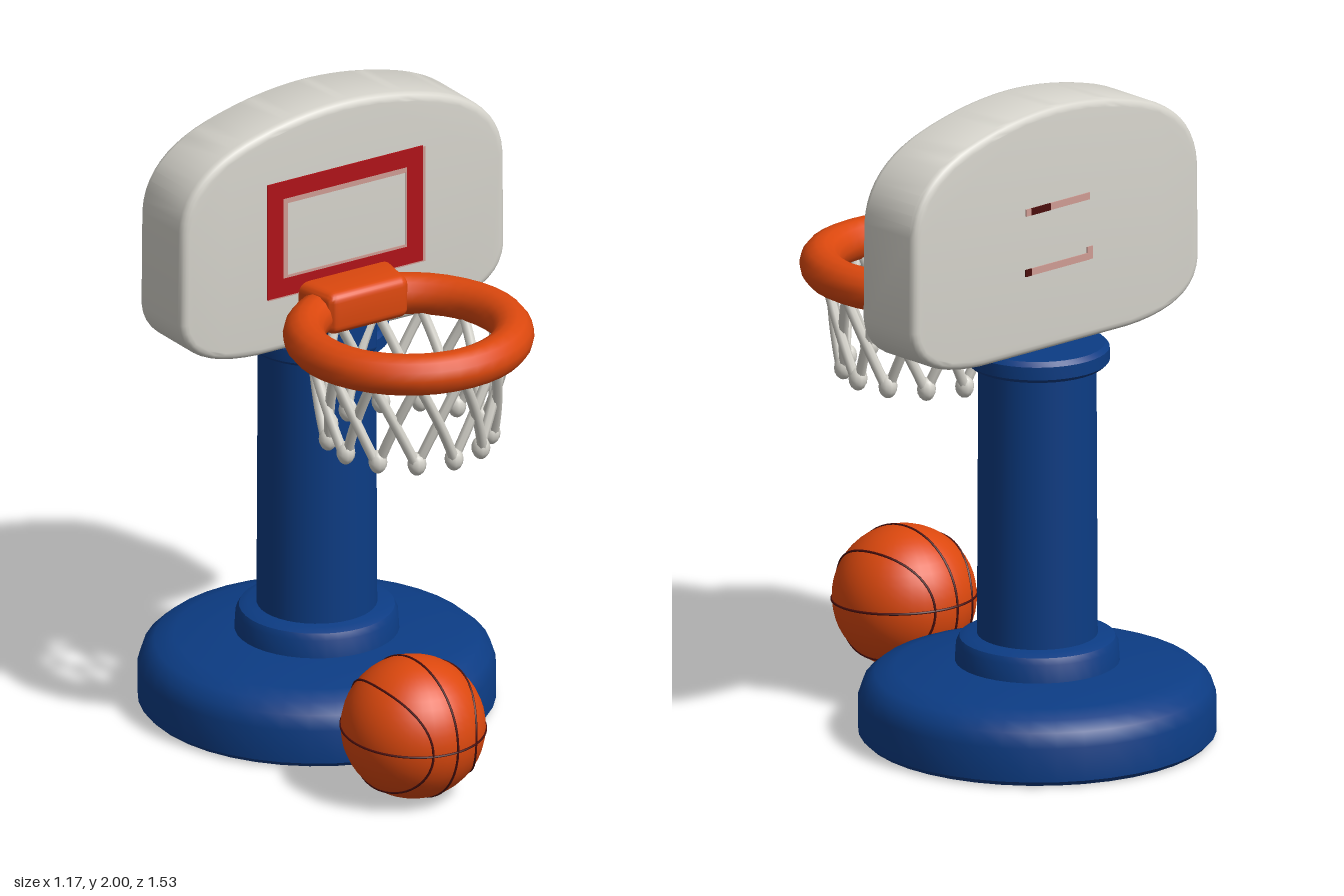
import * as THREE from 'three';
import { toCreasedNormals } from 'three/addons/utils/BufferGeometryUtils.js';
import { RoundedBoxGeometry } from 'three/addons/geometries/RoundedBoxGeometry.js';

const paint = (name, color) => {
  const m = new THREE.MeshStandardMaterial({ color });
  m.name = name;
  return m;
};

export function createModel() {
  const model = new THREE.Group();
  model.name = 'toyBasketballHoop';

  const blue = paint('blue', 0x0c3c84);
  const orange = paint('orange', 0xdc480e);
  const white = paint('offWhite', 0xd6d4cc);
  const red = paint('red', 0xb01218);
  const pink = paint('fadedRed', 0xcf9c94);
  const dark = paint('darkSeam', 0x4a0e0c);

  const add = (name, geometry, material, x = 0, y = 0, z = 0, parent = model) => {
    const mesh = new THREE.Mesh(geometry, material);
    mesh.name = name;
    mesh.position.set(x, y, z);
    parent.add(mesh);
    return mesh;
  };
  const lathe = (points) =>
    toCreasedNormals(new THREE.LatheGeometry(points.map(([r, y]) => new THREE.Vector2(r, y)), 40), 0.7);

  // Stand
  const poleZ = -0.23;
  add('base', lathe([[0, 0], [0.525, 0], [0.54, 0.015], [0.54, 0.12], [0.525, 0.165], [0.49, 0.195],
    [0.43, 0.212], [0.25, 0.235], [0, 0.235]]), blue, 0, 0, poleZ);
  add('baseCollar', lathe([[0.25, 0.21], [0.245, 0.29], [0.235, 0.31], [0.21, 0.32], [0, 0.32]]), blue, 0, 0, poleZ);
  add('pole', new THREE.CylinderGeometry(0.178, 0.182, 0.9, 40), blue, 0, 0.75, poleZ);
  add('poleCap', lathe([[0, 1.17], [0.205, 1.17], [0.218, 1.182], [0.218, 1.222], [0.205, 1.236], [0, 1.24]]),
    blue, 0, 0, poleZ);
  add('rimSupport', new RoundedBoxGeometry(0.16, 0.12, 0.1, 2, 0.02), blue, 0, 1.25, -0.06);

  // Backboard with a domed top and rounded lower corners
  const outline = new THREE.Shape();
  outline.moveTo(-0.3, 1.238);
  outline.lineTo(0.3, 1.238);
  outline.bezierCurveTo(0.47, 1.245, 0.575, 1.29, 0.585, 1.4);
  outline.lineTo(0.582, 1.7);
  outline.bezierCurveTo(0.575, 1.82, 0.49, 1.9, 0.35, 1.945);
  outline.bezierCurveTo(0.22, 1.985, 0.1, 2, 0, 2);
  outline.bezierCurveTo(-0.1, 2, -0.22, 1.985, -0.35, 1.945);
  outline.bezierCurveTo(-0.49, 1.9, -0.575, 1.82, -0.582, 1.7);
  outline.lineTo(-0.585, 1.4);
  outline.bezierCurveTo(-0.575, 1.29, -0.47, 1.245, -0.3, 1.238);
  const board = new THREE.ExtrudeGeometry(outline, {
    depth: 0.19, bevelThickness: 0.025, bevelSize: 0.025, bevelOffset: -0.025, bevelSegments: 4, curveSegments: 10,
  });
  add('backboard', toCreasedNormals(board, 0.6), white, 0, 0, -0.295);

  // Painted target frame
  const frame = (x0, x1, y0, y1, w) => {
    const box = (path, a, b, c, d) =>
      path.moveTo(a, c).lineTo(b, c).lineTo(b, d).lineTo(a, d).closePath();
    const shape = box(new THREE.Shape(), x0, x1, y0, y1);
    shape.holes.push(box(new THREE.Path(), x0 + w, x1 - w, y0 + w, y1 - w));
    return new THREE.ExtrudeGeometry(shape, { depth: 0.004, bevelEnabled: false });
  };
  add('targetFadedEdge', frame(-0.275, 0.29, 1.415, 1.79, 0.07), pink, 0, 0, -0.081);
  add('targetFrame', frame(-0.28, 0.28, 1.42, 1.795, 0.057), red, 0, 0, -0.079);

  // Faint marks on the back
  for (const y of [1.69, 1.5]) {
    add('backMark', new THREE.BoxGeometry(0.26, 0.022, 0.006), pink, 0, y, -0.32);
    add('backMarkSpot', new THREE.BoxGeometry(y > 1.6 ? 0.08 : 0.025, 0.022, 0.008), dark, y > 1.6 ? 0.07 : 0.12, y, -0.32);
  }
  add('backMarkHook', new THREE.BoxGeometry(0.022, 0.04, 0.006), pink, -0.13, 1.51, -0.32);

  // Rim and its mount
  const rimZ = 0.27;
  const rim = new THREE.TorusGeometry(0.315, 0.064, 14, 40);
  rim.rotateX(Math.PI / 2);
  add('rim', rim, orange, 0, 1.368, rimZ);
  const mount = new RoundedBoxGeometry(0.29, 0.135, 0.17, 3, 0.03);
  const p = mount.attributes.position;
  for (let i = 0; i < p.count; i++) if (p.getZ(i) < 0) p.setX(i, p.getX(i) * 1.15);
  mount.computeVertexNormals();
  add('rimMount', toCreasedNormals(mount, 0.8), orange, 0, 1.382, -0.02);

  // Net of crossing strands, gathered into knots at the bottom
  const net = new THREE.Group();
  net.name = 'net';
  net.position.set(0, 0, rimZ);
  model.add(net);
  const count = 13;
  const step = (Math.PI * 2) / count;
  for (let i = 0; i < count; i++) {
    for (const dir of [-1, 1]) {
      const points = [];
      for (let k = 0; k <= 6; k++) {
        const t = k / 6;
        const a = (i + dir * t) * step;
        const r = 0.293 - 0.045 * t + dir * 0.006;
        points.push(new THREE.Vector3(Math.sin(a) * r, 1.325 - 0.285 * t, Math.cos(a) * r));
      }
      add('netStrand', new THREE.TubeGeometry(new THREE.CatmullRomCurve3(points), 12, 0.016, 7), white, 0, 0, 0, net);
    }
    const knot = add('netKnot', new THREE.SphereGeometry(0.032, 10, 8), white,
      Math.sin(i * step) * 0.248, 1.048, Math.cos(i * step) * 0.248, net);
    knot.scale.set(0.9, 1.15, 0.9);
  }

  // Ball with seams
  const ball = new THREE.Group();
  ball.name = 'ball';
  ball.position.set(-0.162, 0.22, 0.54);
  ball.rotation.set(0.06, 0.08, 0);
  model.add(ball);
  const R = 0.219;
  add('ballSkin', new THREE.SphereGeometry(R, 36, 24), orange, 0, 0, 0, ball);
  const seam = (direction) => {
    const points = [];
    for (let k = 0; k < 32; k++) points.push(direction((k / 32) * Math.PI * 2).setLength(R));
    add('ballSeam', new THREE.TubeGeometry(new THREE.CatmullRomCurve3(points, true), 64, 0.004, 6, true),
      dark, 0, 0, 0, ball);
  };
  seam((t) => new THREE.Vector3(Math.sin(t), 0, Math.cos(t)));
  seam((t) => new THREE.Vector3(0, Math.sin(t), Math.cos(t)));
  for (const side of [-1, 1]) {
    seam((t) => new THREE.Vector3(side * (0.4 + 0.45 * Math.sin(t) ** 2), Math.sin(t), Math.cos(t)));
  }

  return model;
}
